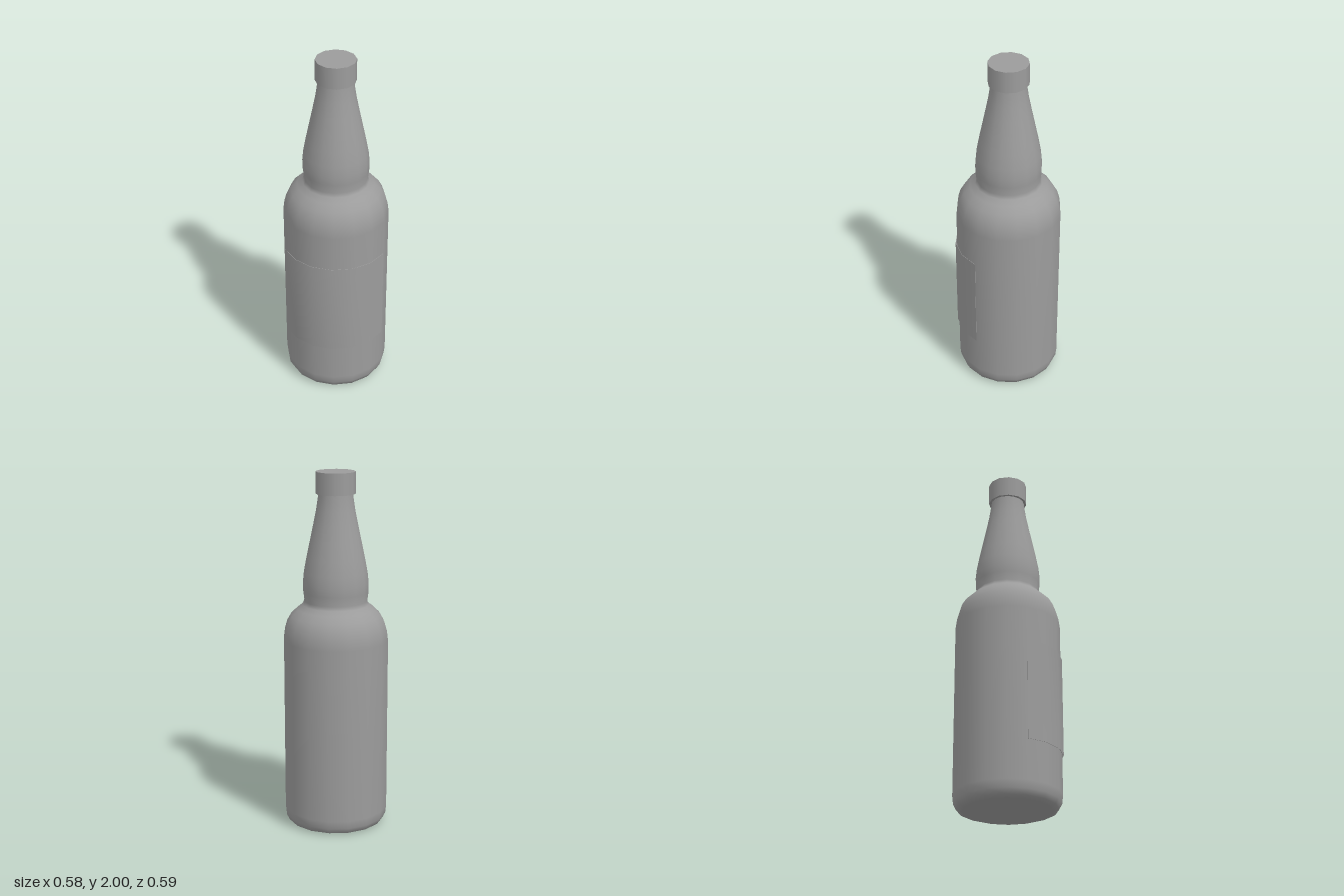
import * as THREE from 'three';
import { toCreasedNormals } from 'three/addons/utils/BufferGeometryUtils.js';

const CENTRE_Z = -0.005;
const TWIST = -0.085; // turn of the 16-sided body about its axis

// Thin curved sheet with a small thickness, standing on y = 0
function curvedSheet(inner, outer, height, startDeg, endDeg, segments) {
  const arc = (r) => Array.from({ length: segments + 1 }, (_, i) => {
    const a = THREE.MathUtils.degToRad(startDeg + (endDeg - startDeg) * i / segments);
    return new THREE.Vector2(r * Math.sin(a), -r * Math.cos(a));
  });
  const shape = new THREE.Shape([...arc(outer), ...arc(inner).reverse()]);
  const sheet = new THREE.ExtrudeGeometry(shape, { depth: height, bevelEnabled: false });
  return toCreasedNormals(sheet.rotateX(-Math.PI / 2), 0.6);
}

export function createModel() {
  const model = new THREE.Group();
  const grey = new THREE.MeshStandardMaterial({ color: 0x9c9c9c });

  const add = (name, geometry, y = 0) => {
    const mesh = new THREE.Mesh(geometry, grey);
    mesh.name = name;
    mesh.position.set(0, y, CENTRE_Z);
    model.add(mesh);
  };

  // Bottle: dished base, straight body, round shoulder and bulged neck
  const profile = [
    [0, 0.04], [0.12, 0.025], [0.2, 0.008], [0.24, 0.003],
    [0.272, 0.014], [0.288, 0.045], [0.293, 0.09], [0.293, 0.6], [0.293, 1.07],
    [0.286, 1.125], [0.273, 1.17], [0.25, 1.21], [0.215, 1.245], [0.185, 1.268],
    [0.176, 1.29], [0.182, 1.34], [0.183, 1.39], [0.177, 1.45], [0.162, 1.53],
    [0.143, 1.62], [0.124, 1.71], [0.108, 1.79], [0.096, 1.87], [0.094, 1.92],
  ].map(([r, y]) => new THREE.Vector2(r, y));
  add('bottle', new THREE.LatheGeometry(profile, 16, TWIST, Math.PI * 2));

  // Cap
  add('cap', new THREE.CylinderGeometry(0.11, 0.11, 0.12, 12), 1.94);

  // Label wrapped around the front
  add('label', curvedSheet(0.299, 0.301, 0.56, -72.8, 59.6, 6), 0.31);

  return model;
}
